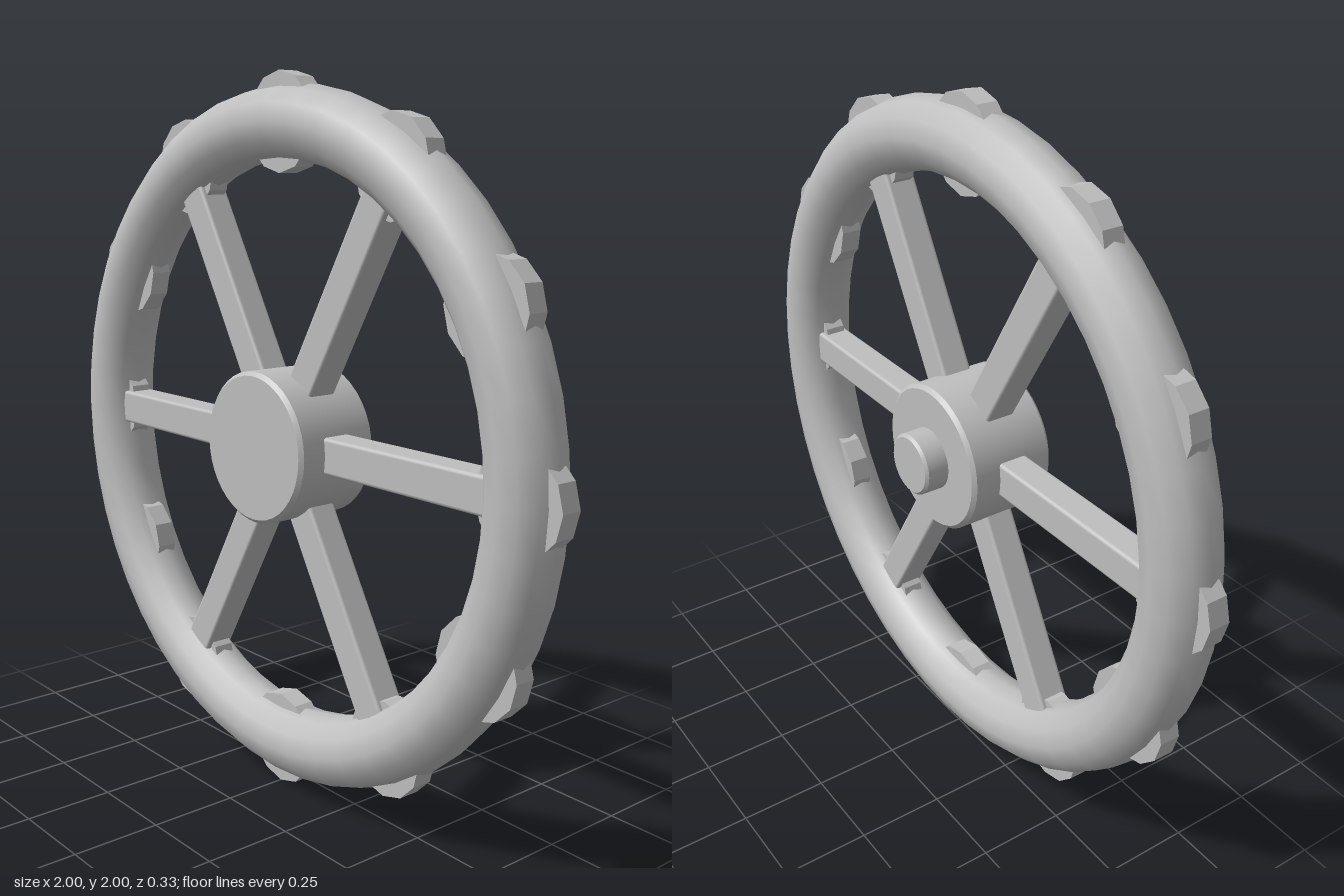
import * as THREE from 'three';
import { toCreasedNormals } from 'three/addons/utils/BufferGeometryUtils.js';
import { RoundedBoxGeometry } from 'three/addons/geometries/RoundedBoxGeometry.js';

const grey = new THREE.MeshStandardMaterial({ color: 0xbfbfbf });
grey.name = 'grey metal';

const RIM_RADIUS = 0.867;
const MID_Z = 0.036;

function addPart(parent, name, geometry) {
  const mesh = new THREE.Mesh(geometry, grey);
  mesh.name = name;
  parent.add(mesh);
  return mesh;
}

// Solid disc along z with a small chamfer on both ends
function chamferedDisc(radius, z0, z1, bevel) {
  const profile = [
    [0, z0], [radius - bevel, z0], [radius, z0 + bevel],
    [radius, z1 - bevel], [radius - bevel, z1], [0, z1],
  ].map(([r, z]) => new THREE.Vector2(r, z));
  const geometry = new THREE.LatheGeometry(profile, 40);
  geometry.rotateX(Math.PI / 2);
  return toCreasedNormals(geometry, 0.6);
}

export function createModel() {
  const model = new THREE.Group();
  model.name = 'handWheel';
  const wheel = new THREE.Group();
  wheel.name = 'wheel';
  wheel.position.y = 1;
  model.add(wheel);

  // Round rim
  addPart(wheel, 'rim', new THREE.TorusGeometry(RIM_RADIUS, 0.1, 12, 48)).position.z = MID_Z;

  // Hub and the shaft stub behind it
  addPart(wheel, 'hub', chamferedDisc(0.21, -0.095, 0.163, 0.011));
  addPart(wheel, 'shaft', chamferedDisc(0.088, -0.165, -0.08, 0.008));

  // Six spokes from hub to rim
  const spokeStart = 0.12, spokeEnd = 0.8;
  const spokeGeometry = new RoundedBoxGeometry(spokeEnd - spokeStart, 0.1, 0.09, 2, 0.01);
  spokeGeometry.translate((spokeStart + spokeEnd) / 2, 0, MID_Z);
  for (let i = 0; i < 6; i++) {
    addPart(wheel, 'spoke', spokeGeometry).rotation.z = (i * Math.PI) / 3;
  }

  // Twelve grip ridges: thin twelve-sided discs set through the rim
  const gripGeometry = toCreasedNormals(
    new THREE.CylinderGeometry(0.133, 0.133, 0.06, 12).rotateX(Math.PI / 2), 0.3);
  gripGeometry.translate(RIM_RADIUS, 0, MID_Z);
  for (let i = 0; i < 12; i++) {
    addPart(wheel, 'gripRidge', gripGeometry).rotation.z = (i * Math.PI) / 6;
  }

  return model;
}
